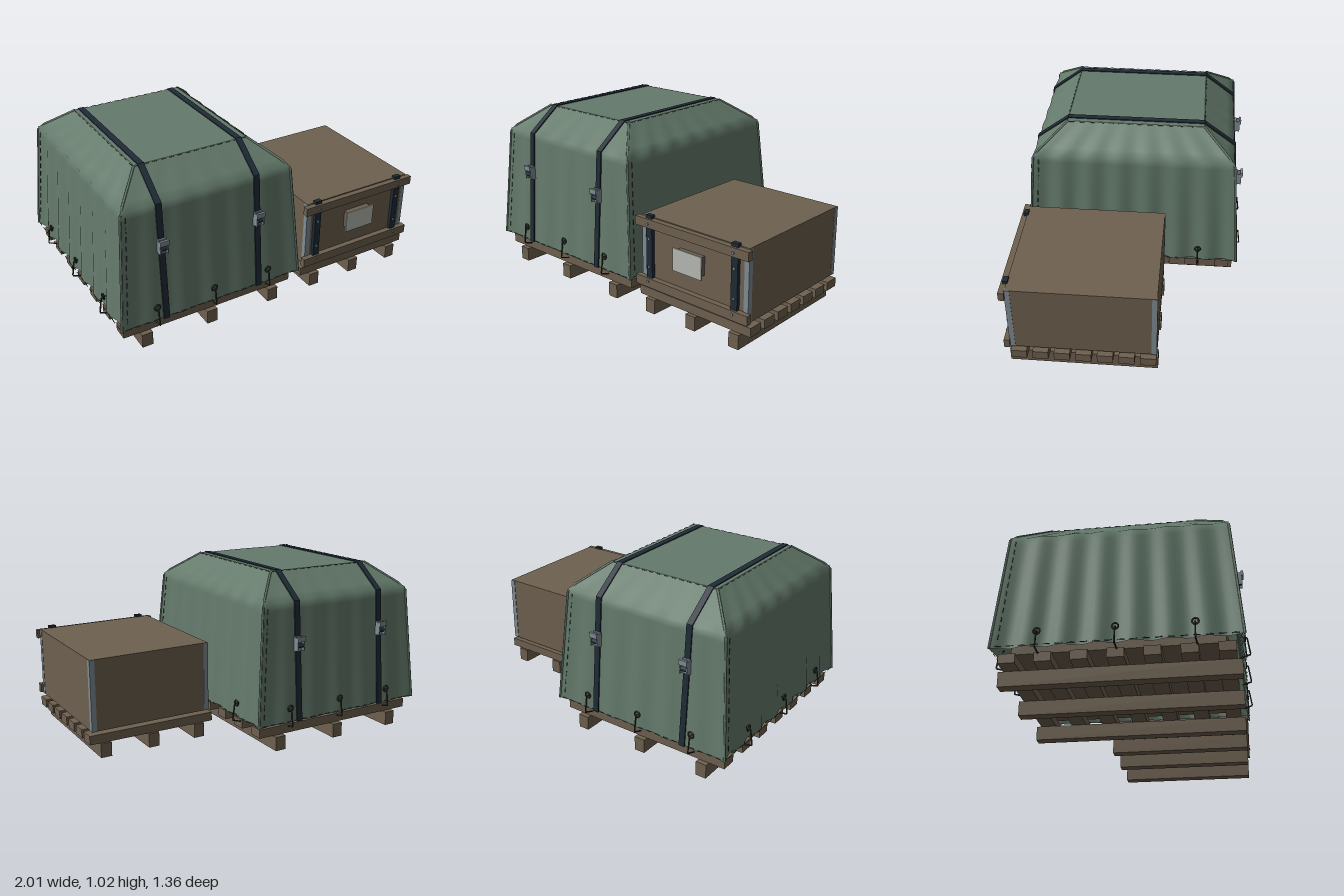
import * as THREE from 'three';

const mat = (name, color) => Object.assign(new THREE.MeshStandardMaterial({ color }), { name });
const M = {
  wood: mat('wood', 0x6e604f),
  tarp: mat('tarp green', 0x647a6b),
  seam: mat('seam dark green', 0x35433a),
  strap: mat('strap navy', 0x1f2b36),
  metal: mat('galvanised metal', 0x7f8c94),
  rope: mat('rope dark', 0x33342e),
  label: mat('label grey', 0xb6bab2),
};
M.tarp.side = THREE.DoubleSide;

function add(parent, name, geo, material, x = 0, y = 0, z = 0) {
  const m = new THREE.Mesh(geo, material);
  m.name = name;
  m.position.set(x, y, z);
  parent.add(m);
  return m;
}

// box given by its min and max on each axis
function box(parent, name, material, x0, x1, y0, y1, z0, z1) {
  return add(parent, name, new THREE.BoxGeometry(x1 - x0, y1 - y0, z1 - z0), material,
    (x0 + x1) / 2, (y0 + y1) / 2, (z0 + z1) / 2);
}

function group(parent, name) {
  const g = new THREE.Group();
  g.name = name;
  parent.add(g);
  return g;
}

function pallet(parent, name, x0, x1, beams, z0, z1, slats) {
  const g = group(parent, name);
  for (const x of beams) box(g, 'beam', M.wood, x - 0.033, x + 0.033, 0, 0.085, z0, z1);
  for (const z of slats) box(g, 'deckSlat', M.wood, x0, x1, 0.087, 0.14, z - 0.045, z + 0.045);
}

// Tarp profile: height, half width in x, half depth in z
const KNOTS = [[0.165, 0.575, 0.655], [0.865, 0.52, 0.602], [1.01, 0.345, 0.41]];
function halves(y) {
  const i = y < KNOTS[1][0] ? 0 : 1;
  const [a, b] = [KNOTS[i], KNOTS[i + 1]];
  const t = (y - a[0]) / (b[0] - a[0]);
  return [a[1] + (b[1] - a[1]) * t, a[2] + (b[2] - a[2]) * t];
}

// Point on tarp side k (0 front, 1 left, 2 back, 3 right) before turning the side into place
function sidePoint(k, u, y, out = 0) {
  const [hx, hz] = halves(y);
  const [along, depth] = k % 2 ? [hz, hx] : [hx, hz];
  return new THREE.Vector3(u * along, y, depth + out);
}

// Folds press inwards, growing towards the hem and vanishing at the corners
function fold(k, u, y) {
  const amp = y > 0.865 ? 0.01 * (1.01 - y) / 0.145 : 0.01 + 0.014 * (0.865 - y) / 0.7;
  const n = k % 2 ? 7 : 6;
  return -amp * Math.sin((u + 1) / 2 * Math.PI * n) ** 2 * (k % 2 ? 1 : 0.5);
}

function tarpSide(k) {
  const rows = [1.01, 0.95, 0.9, 0.865, 0.82, 0.75, 0.65, 0.55, 0.45, 0.35, 0.25, 0.165];
  const cols = 56;
  const geo = new THREE.PlaneGeometry(2, 1, cols, rows.length - 1);
  const pos = geo.attributes.position;
  for (let i = 0; i < pos.count; i++) {
    const y = rows[Math.floor(i / (cols + 1))];
    const u = pos.getX(i);
    const p = sidePoint(k, u, y, fold(k, u, y));
    pos.setXYZ(i, p.x, p.y, p.z);
  }
  geo.computeVertexNormals();
  return geo;
}

function tube(points, r, segs = 12) {
  const path = new THREE.CurvePath();
  for (let i = 1; i < points.length; i++) path.add(new THREE.LineCurve3(points[i - 1], points[i]));
  return new THREE.TubeGeometry(path, segs, r, 6);
}

// Row of short stitches between two points
function stitches(parent, a, b, count) {
  for (let i = 0; i < count; i++) {
    const p = a.clone().lerp(b, (i + 0.2) / count);
    const q = a.clone().lerp(b, (i + 0.8) / count);
    add(parent, 'stitch', new THREE.TubeGeometry(new THREE.LineCurve3(p, q), 1, 0.0025, 4), M.seam);
  }
}

function tarpLoad(parent) {
  const g = group(parent, 'coveredLoad');
  g.position.x = -0.41;
  box(g, 'load', M.wood, -0.49, 0.49, 0.16, 0.8, -0.56, 0.56);
  const top = add(g, 'tarpTop', new THREE.PlaneGeometry(0.69, 0.82), M.tarp, 0, 1.01, 0);
  top.rotation.x = -Math.PI / 2;

  for (let k = 0; k < 4; k++) {
    const s = group(g, 'tarpSide');
    s.rotation.y = k * Math.PI / 2;
    add(s, 'tarpPanel', tarpSide(k), M.tarp);

    // raised corner seam and stitched edges
    const corner = KNOTS.map(([y]) => sidePoint(k, 1, y));
    add(s, 'cornerSeam', tube(corner, 0.007, 16), M.tarp);
    stitches(s, sidePoint(k, -0.94, 0.2, 0), sidePoint(k, -0.94, 0.85, 0), 12);
    stitches(s, sidePoint(k, -1, 1.008, 0.002), sidePoint(k, 1, 1.008, 0.002), 14);
    stitches(s, sidePoint(k, -0.98, 0.172, 0), sidePoint(k, 0.98, 0.172, 0), 20);

    // eyelets with tie ropes hooked under the hem
    for (const u of [-0.63, 0, 0.63]) {
      const uu = u + 0.002;
      const c = sidePoint(k, uu, 0.25, 0.004);
      add(s, 'eyelet', new THREE.TorusGeometry(0.017, 0.005, 6, 14), M.rope, c.x, c.y, c.z);
      const at = (dx, y, dz) => new THREE.Vector3(c.x + dx, y, c.z + dz);
      add(s, 'tieRope', tube([at(0, 0.25, -0.015), at(0, 0.245, 0.012), at(0, 0.148, 0.026),
        at(0.006, 0.133, -0.025)], 0.0045, 24), M.rope);
    }
  }

  // straps over the tarp, front hem to back hem
  const outline = (o) => [[0.655 + o, 0.165], [0.602 + o, 0.867 + o * 0.4], [0.41 + o * 0.4, 1.01 + o],
    [-0.41 - o * 0.4, 1.01 + o], [-0.602 - o, 0.867 + o * 0.4], [-0.655 - o, 0.165]];
  const band = new THREE.Shape([...outline(0.006), ...outline(-0.002).reverse()]
    .map(([z, y]) => new THREE.Vector2(-z, y)));
  const bandGeo = new THREE.ExtrudeGeometry(band, { depth: 0.036, bevelEnabled: false });
  bandGeo.translate(0, 0, -0.018).rotateY(Math.PI / 2);
  for (const x of [-0.305, 0.295]) {
    add(g, 'strap', bandGeo, M.strap, x, 0, 0);
    for (const dir of [1, -1]) {
      const b = group(g, 'ratchetBuckle');
      b.position.set(x, (x < 0 ? 0.625 : 0.61) + (dir < 0 ? 0.015 : 0), dir * 0.622);
      if (dir < 0) b.rotation.y = Math.PI;
      box(b, 'buckleBase', M.metal, -0.025, 0.025, -0.045, 0.04, -0.002, 0.012);
      for (const e of [-1, 1]) box(b, 'buckleCheek', M.metal, e * 0.022 - 0.003, e * 0.022 + 0.003, -0.04, 0.035, 0.01, 0.036);
      box(b, 'buckleHandle', M.metal, -0.026, 0.026, 0.015, 0.045, 0.03, 0.044);
      const spool = add(b, 'buckleSpool', new THREE.CylinderGeometry(0.013, 0.013, 0.04, 12), M.strap, 0, -0.012, 0.022);
      spool.rotation.z = Math.PI / 2;
    }
  }
}

function crate(parent) {
  const g = group(parent, 'crate');
  box(g, 'crateBody', M.wood, 0.238, 0.982, 0.16, 0.58, -0.203, 0.617);
  // metal corner angles
  for (const sx of [-1, 1]) {
    const edge = 0.61 + sx * 0.374;
    for (const [z, sz] of [[0.62, 1], [-0.206, -1]]) {
      const span = (a, d, t) => [Math.min(a, a - d * t), Math.max(a, a - d * t)];
      box(g, 'cornerAngle', M.metal, ...span(edge, sx, 0.004), 0.16, 0.578, ...span(z, sz, 0.03));
      box(g, 'cornerAngle', M.metal, ...span(edge, sx, 0.03), 0.16, 0.578, ...span(z, sz, 0.004));
    }
  }
  // front rails
  box(g, 'upperRail', M.wood, 0.212, 1, 0.522, 0.574, 0.617, 0.65);
  box(g, 'lowerRail', M.wood, 0.212, 1, 0.165, 0.22, 0.617, 0.65);
  // dark latch straps with bolts and top caps
  for (const x of [0.305, 0.903]) {
    box(g, 'latchStrap', M.strap, x - 0.021, x + 0.021, 0.215, 0.525, 0.615, 0.638);
    box(g, 'latchCap', M.strap, x - 0.021, x + 0.021, 0.57, 0.594, 0.61, 0.637);
    for (const [y, z] of [[0.545, 0.652], [0.455, 0.64], [0.285, 0.64], [0.2, 0.652]]) {
      const bolt = add(g, 'bolt', new THREE.CylinderGeometry(0.008, 0.008, 0.008, 10), M.metal, x, y, z);
      bolt.rotation.x = Math.PI / 2;
    }
  }
  // document pouch
  box(g, 'label', M.label, 0.503, 0.705, 0.333, 0.465, 0.655, 0.664);
  box(g, 'labelBacking', M.wood, 0.52, 0.69, 0.345, 0.455, 0.615, 0.656);
}

export function createModel() {
  const model = new THREE.Group();
  model.name = 'palletCargo';
  pallet(model, 'largePallet', -0.96, 0.13, [-0.828, -0.414, 0], -0.637, 0.637,
    [-3, -2, -1, 0, 1, 2, 3].map((i) => i * 0.1885));
  pallet(model, 'smallPallet', 0.212, 1, [0.305, 0.605, 0.905], -0.213, 0.637,
    [0, 1, 2, 3, 4, 5, 6].map((i) => -0.16 + i * 0.122));
  tarpLoad(model);
  crate(model);
  return model;
}
